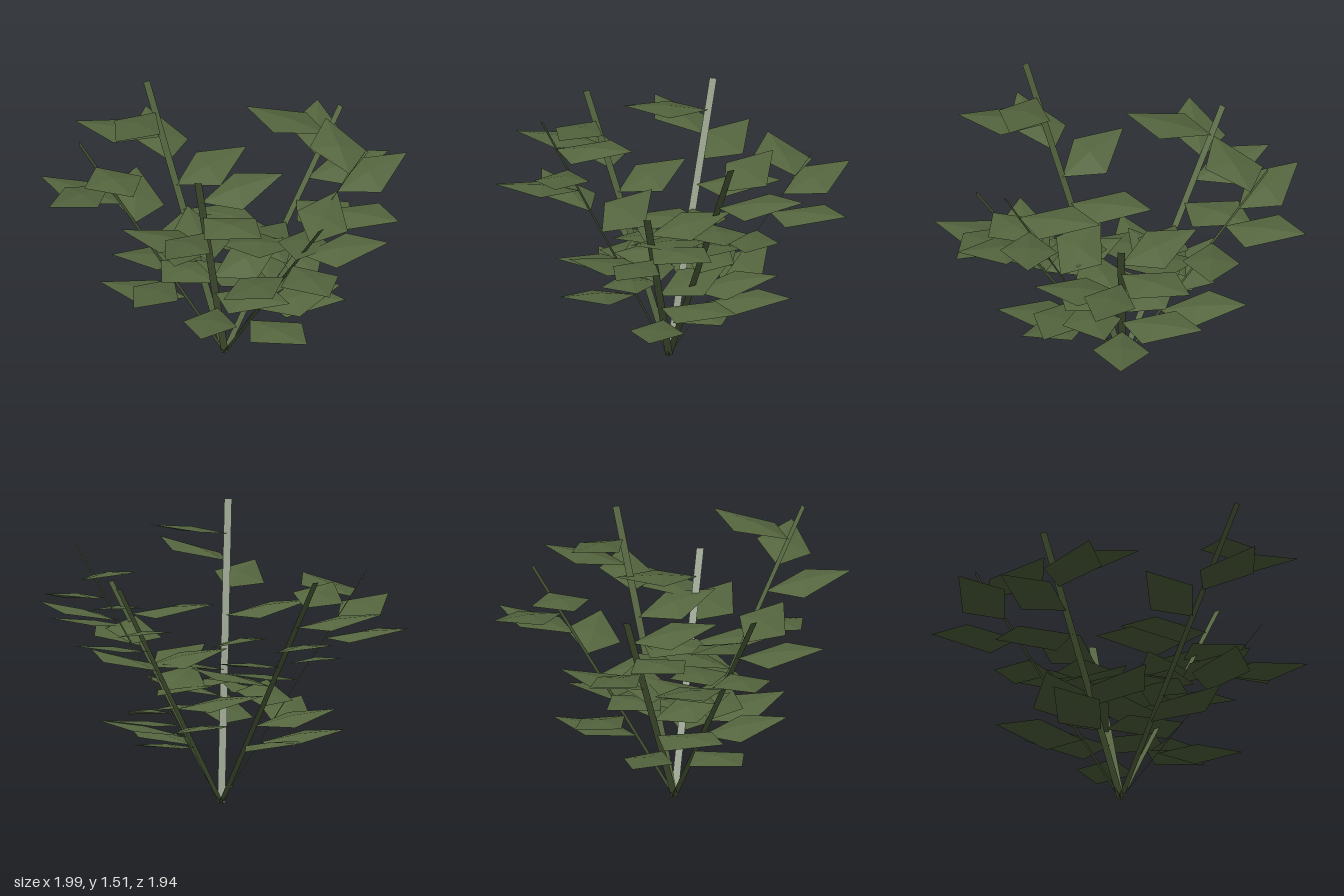
import * as THREE from 'three';

const foliage = new THREE.MeshStandardMaterial({ color: 0x55663f, side: THREE.DoubleSide });
foliage.name = 'foliage green';

// Non-indexed geometry from a few points and triangles, for faceted shading
function faceted(points, faces) {
  const g = new THREE.BufferGeometry();
  g.setAttribute('position', new THREE.Float32BufferAttribute(faces.flat().flatMap((i) => points[i]), 3));
  g.computeVertexNormals();
  return g;
}

// Stem: flat ribbon leaning outward, one unit tall before stretching
const LEAN = 0.775;
const W = 0.02;
const stemGeometry = faceted(
  [[-W, 0, 0], [W, 0, 0], [W, 1, LEAN], [-W, 1, LEAN]],
  [[0, 1, 2], [0, 2, 3]],
);

// Leaf: slightly skewed kite folded along its midrib, pointing along +z
const leafGeometry = faceted(
  [[0, 0, 0], [0.153, 0.031, 0.245], [0, 0.055, 0.465], [-0.153, 0.004, 0.178], [0, 0.036, 0.21]],
  [[0, 4, 1], [1, 4, 2], [2, 4, 3], [3, 4, 0]],
);

// One branch with leaves spiralling up the stem
const LEAVES = 8;
function makeBranch(azimuth, height) {
  const branch = new THREE.Group();
  branch.name = 'branch';
  const stem = new THREE.Mesh(stemGeometry, foliage);
  stem.name = 'stem';
  branch.add(stem);
  for (let k = 0; k < LEAVES; k++) {
    const h = 0.26 + 0.0893 * k;
    const leaf = new THREE.Mesh(leafGeometry, foliage);
    leaf.name = 'leaf';
    leaf.position.set(0, h, h * LEAN);
    leaf.rotation.y = THREE.MathUtils.degToRad(68.75 * k - 0.5);
    branch.add(leaf);
  }
  branch.rotation.y = THREE.MathUtils.degToRad(azimuth);
  branch.scale.y = height;
  return branch;
}

export function createModel() {
  const plant = new THREE.Group();
  plant.name = 'leafyPlant';
  // Direction in degrees and height of each branch
  const branches = [
    [4.5, 1.51], [56.3, 1.11], [90, 1.37],
    [142.6, 1.24], [-132.6, 1.28], [-80.5, 1.25],
  ];
  for (const [azimuth, height] of branches) {
    const branch = makeBranch(azimuth, height);
    branch.position.z = -0.03;
    plant.add(branch);
  }
  return plant;
}
